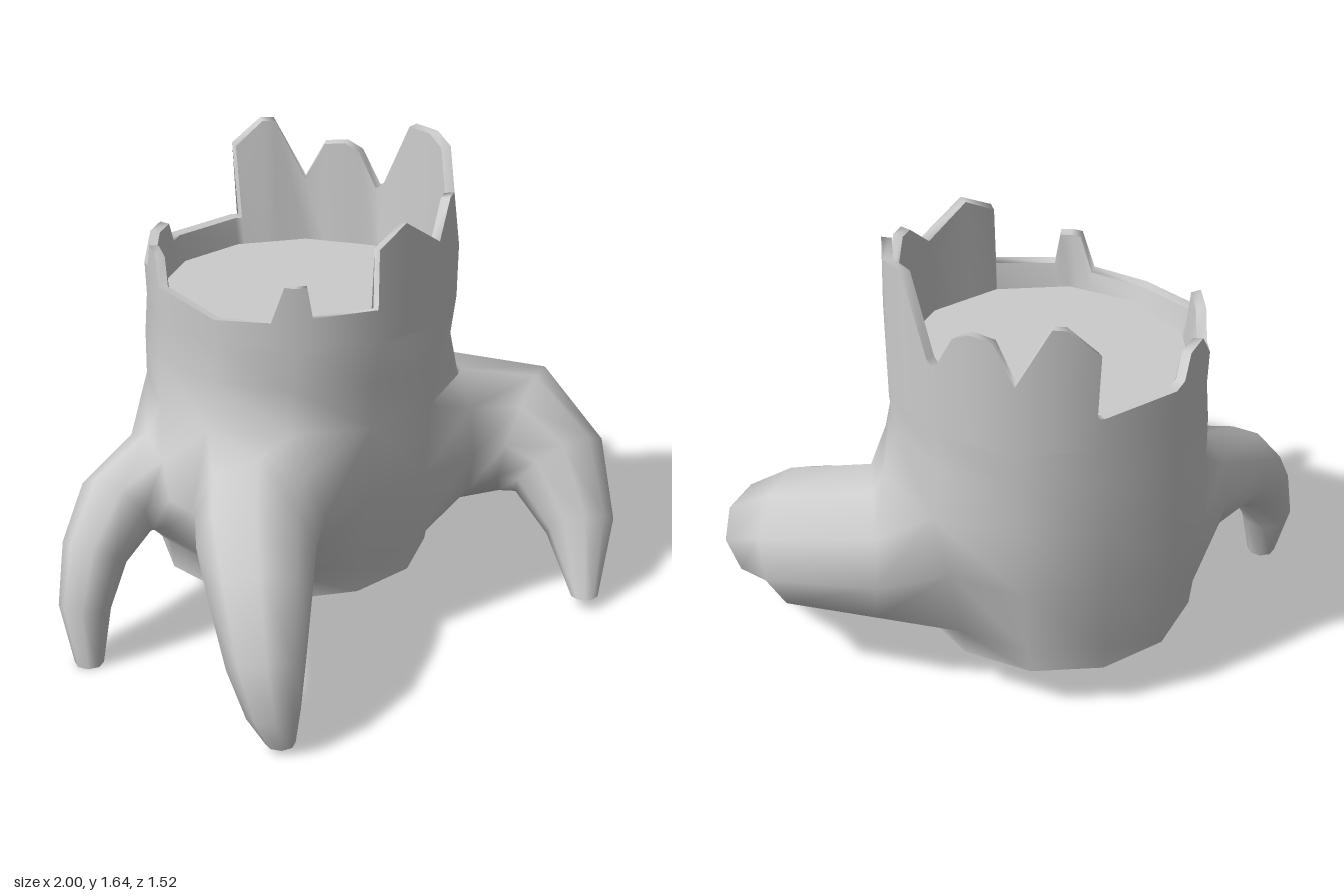
import * as THREE from 'three';

const SIDES = 12, STEP = Math.PI / 6, START = THREE.MathUtils.degToRad(-97);
const V = (x, y, z) => new THREE.Vector3(x, y, z);
const material = new THREE.MeshStandardMaterial({ color: 0xcccccc, side: THREE.DoubleSide });

// Trunk sections: height, centre x, centre z, radius
const SECTIONS = [
  [0.18, 0.045, -0.225, 0.48],
  [0.28, 0.05, -0.225, 0.495],
  [0.55, 0.07, -0.23, 0.53],
  [0.82, 0.08, -0.225, 0.54],
  [0.98, 0.08, -0.225, 0.54],
  [1.12, 0.09, -0.215, 0.545],
];
const TOP = SECTIONS[SECTIONS.length - 1];

// Swellings of the trunk above and between the roots: section, column, extra radius
const SWELLINGS = [[2, 9, 0.14], [3, 9, 0.04], [3, 3, 0.05], [3, 4, 0.05], [3, 5, 0.03]];

// Roots: first trunk column, columns spanned, then path points x, y, z, radius
const ROOTS = [
  // left
  { col: 3, cols: 3, path: [
    [0.62, 0.51, 0.07, 0.275], [0.77, 0.50, 0.28, 0.245], [0.75, 0.41, 0.46, 0.185],
    [0.675, 0.235, 0.61, 0.125], [0.555, 0.04, 0.715, 0.05]] },
  // front right
  { col: 7, cols: 2, path: [
    [-0.48, 0.55, 0.06, 0.22], [-0.63, 0.535, 0.17, 0.20], [-0.78, 0.455, 0.31, 0.17],
    [-0.875, 0.28, 0.41, 0.13], [-0.90, 0.13, 0.46, 0.09], [-0.885, 0.02, 0.475, 0.05]] },
  // back right
  { col: 9, cols: 2, path: [
    [-0.48, 0.54, -0.45, 0.18], [-0.64, 0.50, -0.45, 0.145], [-0.77, 0.38, -0.44, 0.115],
    [-0.84, 0.20, -0.43, 0.09], [-0.86, 0, -0.40, 0.05]] },
];

// Broken rim: angle in degrees, height, optional outward lean
const RIM = [
  [-64, 1.51, 0.05], [-54, 1.6, 0.04], [-49, 1.6, 0.03], [-37, 1.38], [-29, 1.52], [-20, 1.53],
  [-14, 1.5], [-7, 1.37], [-3, 1.39], [12, 1.64], [23, 1.637], [40, 1.63], [53, 1.31],
  [62, 1.53], [68, 1.53], [83, 1.42], [100, 1.525], [113, 1.46], [113.3, 1.25], [137, 1.24],
  [139, 1.35], [143, 1.35], [147, 1.35], [152, 1.22], [173, 1.21], [203, 1.25], [208, 1.34],
  [221, 1.34], [226, 1.24], [233, 1.24], [240, 1.33], [251, 1.33], [256, 1.25], [263, 1.25],
  [293, 1.25], [295.8, 1.25],
];

function makeMesh(name, points, index) {
  const geometry = new THREE.BufferGeometry().setFromPoints(points);
  geometry.setIndex(index);
  geometry.computeVertexNormals();
  const mesh = new THREE.Mesh(geometry, material);
  mesh.name = name;
  return mesh;
}

// Radial normals from the top section upwards, so bark and crown shade as one
function smoothUpperBark(mesh) {
  const { position, normal } = mesh.geometry.attributes;
  for (let i = 0; i < position.count; i++) {
    if (position.getY(i) < TOP[0] - 0.001) continue;
    const n = V(position.getX(i) - TOP[1], 0, position.getZ(i) - TOP[2]).normalize();
    normal.setXYZ(i, n.x, n.y, n.z);
  }
  return mesh;
}

// Closed band between two rings with the same number of points
function makeBand(name, lower, upper) {
  const n = lower.length, index = [];
  for (let i = 0; i < n; i++) {
    const j = (i + 1) % n;
    index.push(i, n + i, n + j, i, n + j, j);
  }
  return makeMesh(name, [...lower, ...upper], index);
}

// Trunk wall with openings from which the hollow roots grow as one smooth skin
function makeBark() {
  const points = [], index = [];
  const at = (i, row) => row * SIDES + (i % SIDES);
  SECTIONS.forEach(([y, cx, cz, radius], row) => {
    for (let i = 0; i < SIDES; i++) {
      const a = START + i * STEP;
      const swelling = SWELLINGS.find(([s, c]) => s === row && c === i);
      const r = radius + (swelling ? swelling[2] : 0);
      points.push(V(cx + r * Math.cos(a), y, cz + r * Math.sin(a)));
    }
  });
  const isOpening = (i, row) => (row === 1 || row === 2) &&
    ROOTS.some(({ col, cols }) => i >= col && i < col + cols);
  for (let row = 0; row < SECTIONS.length - 1; row++) {
    for (let i = 0; i < SIDES; i++) {
      if (isOpening(i, row)) continue;
      const a = at(i, row), b = at(i + 1, row), c = at(i + 1, row + 1), d = at(i, row + 1);
      index.push(a, d, c, a, c, b);
    }
  }

  for (const { col, cols, path } of ROOTS) {
    // Border of the opening
    let ring = [];
    for (let k = 0; k < cols; k++) ring.push(at(col + k, 1));
    for (let k = 0; k < 2; k++) ring.push(at(col + cols, 1 + k));
    for (let k = 0; k < cols; k++) ring.push(at(col + cols - k, 3));
    for (let k = 0; k < 2; k++) ring.push(at(col, 3 - k));
    const n = ring.length;

    // Rings carried along the path, the last one lying flat on the ground
    const mid = START + (col + cols / 2) * STEP;
    const side = V(-Math.sin(mid), 0, Math.cos(mid));
    const centres = path.map(([x, y, z]) => V(x, y, z));
    path.forEach(([, , , r], p) => {
      const last = p === path.length - 1;
      const tangent = last ? V(0, -1, 0)
        : p === 0 ? V(Math.cos(mid), 0, Math.sin(mid))
          : centres[p + 1].clone().sub(centres[p - 1]).normalize();
      side.addScaledVector(tangent, -side.dot(tangent)).normalize();
      const up = side.clone().cross(tangent);
      const next = [];
      for (let k = 0; k < n; k++) {
        const a = -Math.PI / 2 - Math.PI * cols / n + k * 2 * Math.PI / n;
        next.push(points.length);
        points.push(centres[p].clone()
          .addScaledVector(side, r * Math.cos(a)).addScaledVector(up, r * Math.sin(a)));
      }
      for (let k = 0; k < n; k++) {
        const m = (k + 1) % n;
        index.push(ring[k], next[k], next[m], ring[k], next[m], ring[m]);
      }
      ring = next;
    });
  }
  return smoothUpperBark(makeMesh('barkAndRoots', points, index));
}

// Point on the twelve-sided trunk outline
function outline(degrees, y, radius) {
  const a = THREE.MathUtils.degToRad(degrees);
  const local = THREE.MathUtils.euclideanModulo(a - START, STEP) - STEP / 2;
  const r = radius * Math.cos(STEP / 2) / Math.cos(local);
  return V(TOP[1] + r * Math.cos(a), y, TOP[2] + r * Math.sin(a));
}

export function createModel() {
  const group = new THREE.Group();
  group.name = 'treeStump';
  group.add(makeBark());

  // Jagged crown: outer wall, broken edge, inner wall
  const outerLow = RIM.map(([a]) => outline(a, TOP[0], TOP[3]));
  const outerTop = RIM.map(([a, h, lean = 0]) => outline(a, h, 0.55 + lean));
  const innerTop = RIM.map(([a, h, lean = 0]) => outline(a, h - 0.005, 0.515 + lean));
  const innerLow = RIM.map(([a]) => outline(a, 1.15, 0.495));
  group.add(
    smoothUpperBark(makeBand('crownOuter', outerLow, outerTop)),
    makeBand('crownEdge', outerTop, innerTop),
    makeBand('crownInner', innerTop, innerLow),
  );

  // Cut wood surface inside the crown
  const floor = [V(TOP[1], 1.15, TOP[2])], fan = [];
  for (let i = 0; i < SIDES; i++) {
    floor.push(outline(-97 + 30 * i, 1.15, 0.497));
    fan.push(0, 1 + (i + 1) % SIDES, 1 + i);
  }
  group.add(makeMesh('cutWood', floor, fan));
  return group;
}
